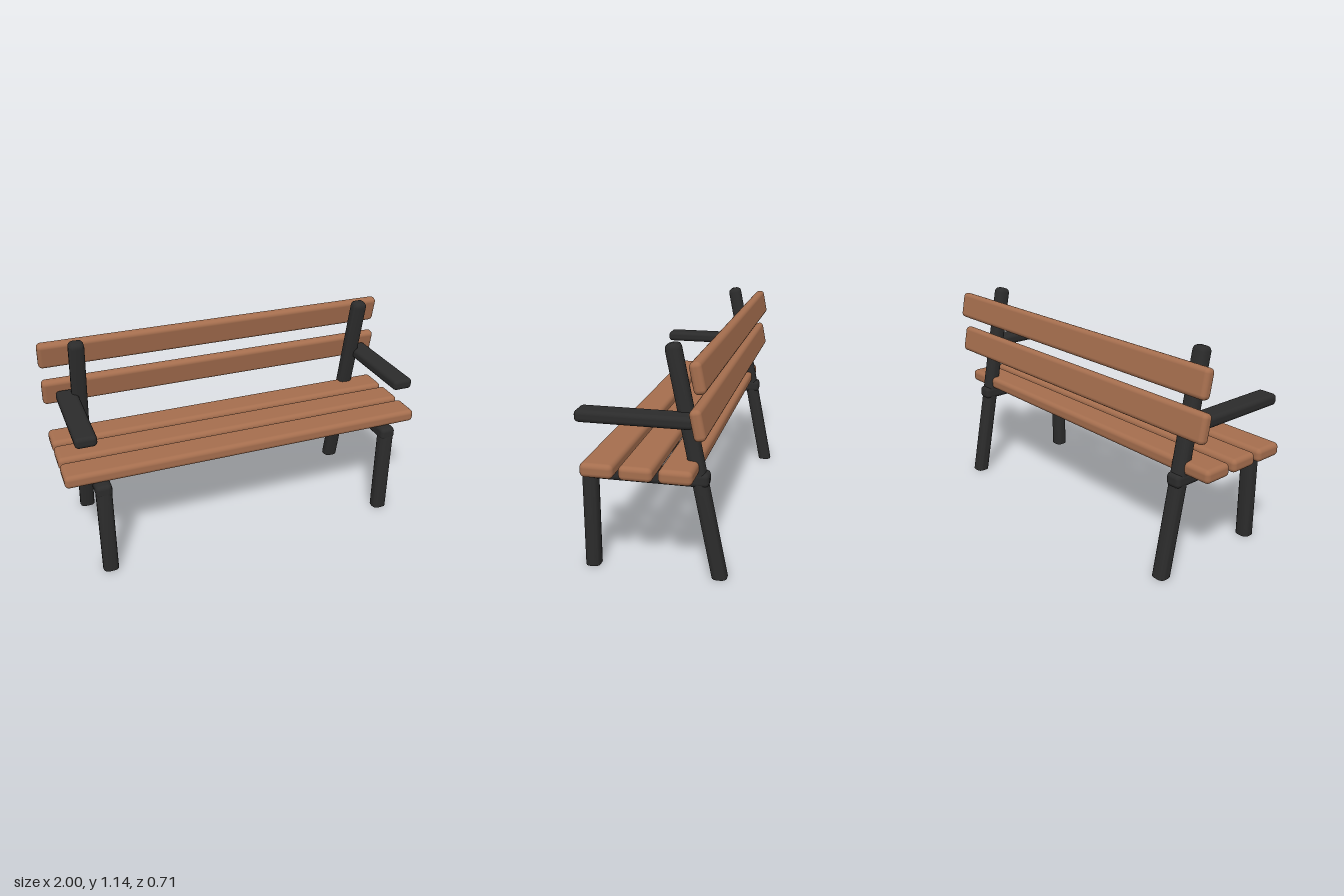
import * as THREE from 'three';
import { RoundedBoxGeometry } from 'three/addons/geometries/RoundedBoxGeometry.js';
import { toCreasedNormals } from 'three/addons/utils/BufferGeometryUtils.js';

const LEAN = 0.196; // forward lean of the rear posts and back slats

export function createModel() {
  const wood = new THREE.MeshStandardMaterial({ color: 0xa56e4e });
  wood.name = 'brown wood';
  const metal = new THREE.MeshStandardMaterial({ color: 0x2b2b2b });
  metal.name = 'dark frame';

  const bench = new THREE.Group();
  bench.name = 'bench';

  function add(name, geometry, material, x, y, z, tilt = 0) {
    const mesh = new THREE.Mesh(geometry, material);
    mesh.name = name;
    mesh.position.set(x, y, z);
    mesh.rotation.x = tilt;
    bench.add(mesh);
  }

  // Rounded post leaning forward, cut flat where it meets the ground
  function postGeometry(length, lean) {
    const sunk = 0.05;
    const geo = new RoundedBoxGeometry(0.082, length + sunk, 0.073, 2, 0.027);
    geo.translate(0, (length - sunk) / 2, 0);
    geo.rotateX(lean);
    const pos = geo.attributes.position;
    for (let i = 0; i < pos.count; i++) {
      const y = pos.getY(i);
      if (y < 0) {
        pos.setY(i, 0);
        pos.setZ(i, pos.getZ(i) - y * Math.tan(lean));
      }
    }
    return toCreasedNormals(geo, 0.8);
  }

  // Seat slats, front to back
  const seatSlat = new RoundedBoxGeometry(2, 0.07, 0.16, 3, 0.024);
  [0.23, 0.045, -0.141].forEach((z, i) => add(`seatSlat${i + 1}`, seatSlat, wood, 0, 0.565, z));

  // Back slats, leaning with the posts
  const backSlat = new RoundedBoxGeometry(2, 0.147, 0.056, 3, 0.023);
  [0.815, 1.028].forEach((y, i) => add(`backSlat${i + 1}`, backSlat, wood, 0, y, -0.242, LEAN));

  // Side frames
  const frontLeg = postGeometry(0.537, 0);
  const rearPost = postGeometry(1.163, LEAN);
  const seatRail = new RoundedBoxGeometry(0.086, 0.073, 0.622, 2, 0.024);
  const armrest = new RoundedBoxGeometry(0.112, 0.06, 0.56, 3, 0.022);
  for (const [side, s] of [['left', 1], ['right', -1]]) {
    add(`${side}FrontLeg`, frontLeg, metal, s * 0.815, 0, 0.319);
    add(`${side}RearPost`, rearPost, metal, s * 0.815, 0, -0.317);
    add(`${side}SeatRail`, seatRail, metal, s * 0.815, 0.502, 0.045);
    add(`${side}Armrest`, armrest, metal, s * 0.879, 0.801, 0.07);
  }

  return bench;
}
